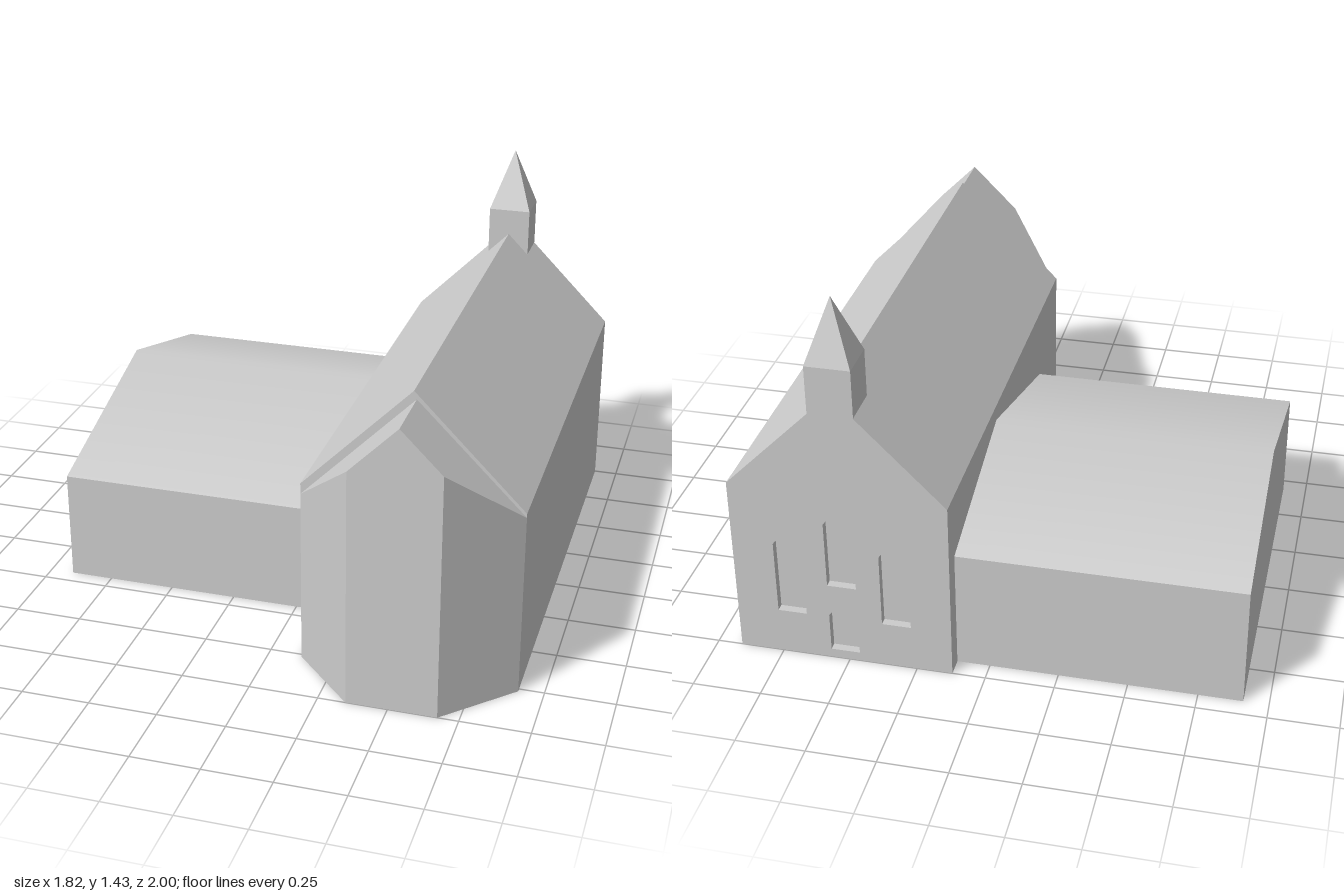
import * as THREE from 'three';
import { ConvexGeometry } from 'three/addons/geometries/ConvexGeometry.js';

const stone = new THREE.MeshStandardMaterial({ color: 0xcccccc });
stone.name = 'stone grey';

const LEFT = 0.12, RIGHT = 0.91, MID = 0.515, BACK = -1, FRONT = 0.765;
const RECESS = 0.03;

const outline = (Type, pts) => new Type(pts.map(([x, y]) => new THREE.Vector2(x, y)));
const extrude = (shape, depth) => new THREE.ExtrudeGeometry(shape, { depth, bevelEnabled: false });

function add(group, name, geometry) {
  const mesh = new THREE.Mesh(geometry, stone);
  mesh.name = name;
  group.add(mesh);
}

const gable = () => outline(THREE.Shape, [[LEFT, 0], [RIGHT, 0], [RIGHT, 0.7], [MID, 1.1], [LEFT, 0.7]]);

// Pointed window opening
const windowHole = ([x, sill, spring, peak]) => {
  const h = 0.053;
  return outline(THREE.Path, [[x - h, sill], [x - h, spring], [x, peak], [x + h, spring], [x + h, sill]]);
};

// Long hall with a smoothly shaded asymmetric roof
function annexGeometry() {
  const ridgeZ = -0.3, ridgeY = 0.64, back = [-0.93, 0.46], front = [0.44, 0.42];
  const geo = extrude(outline(THREE.Shape, [[back[0], 0], [front[0], 0], front, [ridgeZ, ridgeY], back]), 1.03);
  geo.rotateY(-Math.PI / 2);
  geo.translate(LEFT, 0, 0);
  // Blend the normals of the two slopes along the ridge
  const p = geo.attributes.position, n = geo.attributes.normal;
  const blend = new THREE.Vector3(0, front[0] - back[0], back[1] - front[1]).normalize();
  for (let i = 0; i < p.count; i++) {
    if (n.getY(i) > 0.5 && Math.abs(p.getZ(i) - ridgeZ) < 1e-4) n.setXYZ(i, blend.x, blend.y, blend.z);
  }
  return geo;
}

// Gabled end with chamfered corners
function apseGeometry() {
  const ridgeX = 0.525, ridgeY = 1.07;
  const roofY = x => x < ridgeX
    ? ridgeY - (ridgeX - x) * (0.41 / 0.405)
    : ridgeY - (x - ridgeX) * (0.385 / 0.385);
  const pts = [];
  for (const [x, z] of [[LEFT, FRONT], [0.35, 1], [0.675, 1], [RIGHT, FRONT]]) {
    pts.push(new THREE.Vector3(x, 0, z), new THREE.Vector3(x, roofY(x), z));
  }
  for (const z of [FRONT, 1]) pts.push(new THREE.Vector3(ridgeX, ridgeY, z));
  return new ConvexGeometry(pts);
}

export function createModel() {
  const model = new THREE.Group();
  model.name = 'chapel';

  // Nave body
  const nave = extrude(gable(), FRONT - BACK - RECESS);
  nave.translate(0, 0, BACK + RECESS);
  add(model, 'nave', nave);

  // Gable wall with recessed windows: centre x, sill, spring line, peak
  const wall = gable();
  const openings = [
    [0.705, 0.178, 0.465, 0.535],
    [0.515, 0.315, 0.575, 0.645],
    [0.32, 0.178, 0.465, 0.535],
    [0.515, 0.035, 0.185, 0.255],
  ];
  for (const o of openings) wall.holes.push(windowHole(o));
  const wallGeo = extrude(wall, RECESS);
  wallGeo.translate(0, 0, BACK);
  add(model, 'windowWall', wallGeo);

  add(model, 'apse', apseGeometry());
  add(model, 'annex', annexGeometry());

  // Bell turret and spire
  const w = 0.162, d = 0.155;
  const turret = new THREE.BoxGeometry(w, 0.18, d);
  turret.translate(MID, 1.11, BACK + d / 2);
  add(model, 'turret', turret);

  const cone = new THREE.ConeGeometry(Math.SQRT1_2, 0.23, 4, 1, true);
  cone.rotateY(Math.PI / 4);
  cone.scale(w, 1, d);
  cone.translate(MID, 1.315, BACK + d / 2);
  const spire = cone.toNonIndexed();
  spire.computeVertexNormals();
  add(model, 'spire', spire);

  return model;
}
